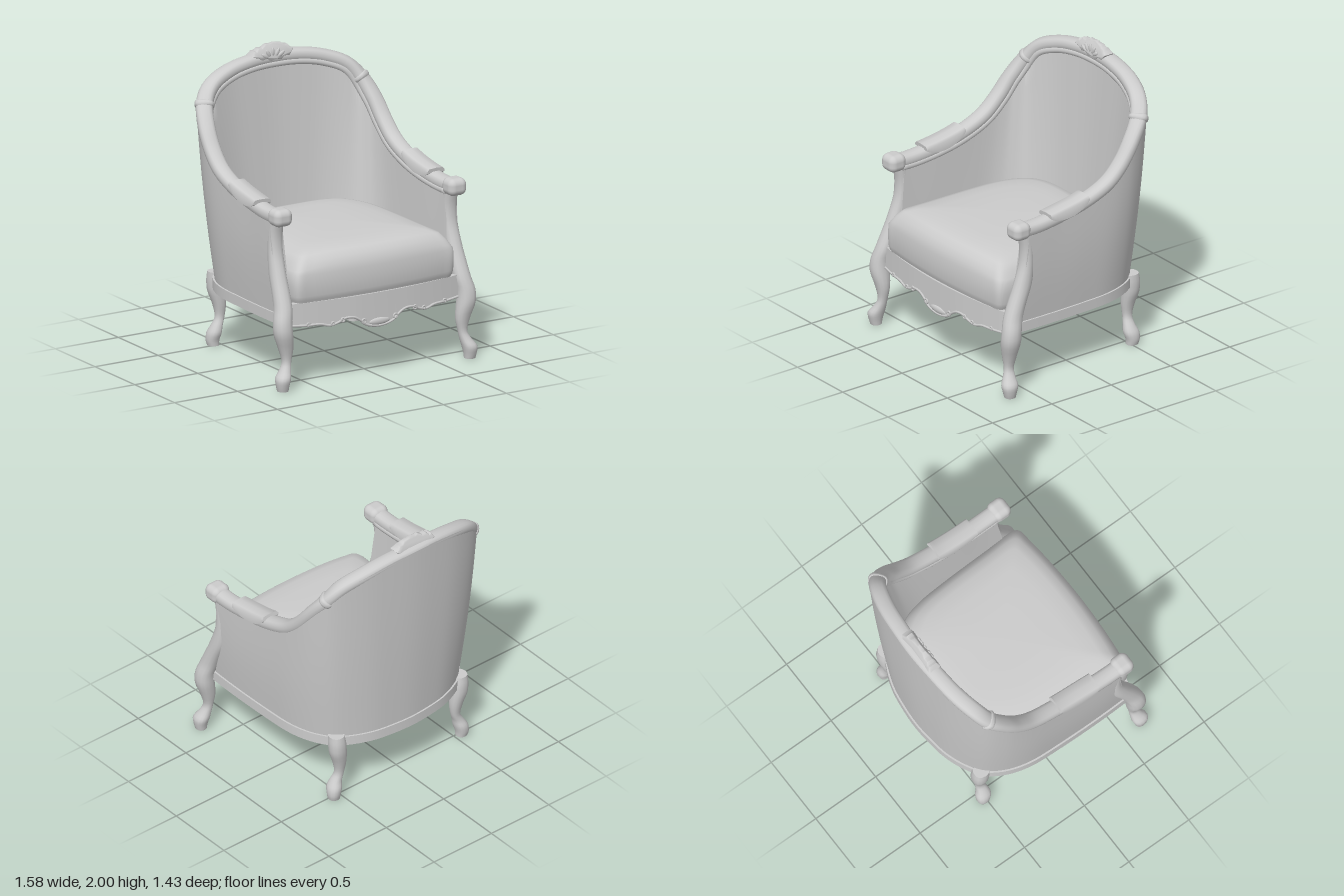
import * as THREE from 'three';
import { toCreasedNormals } from 'three/addons/utils/BufferGeometryUtils.js';
import { RoundedBoxGeometry } from 'three/addons/geometries/RoundedBoxGeometry.js';

const V = (x, y, z) => new THREE.Vector3(x, y, z);
const UP = V(0, 1, 0);

// Skin a list of closed rings; the start can be left open
function loft(rows, crease = 0.8, openStart = false) {
  const n = rows[0].length, pos = [], idx = [];
  rows.forEach(r => r.forEach(p => pos.push(p.x, p.y, p.z)));
  for (let i = 0; i < rows.length - 1; i++) for (let j = 0; j < n; j++) {
    const k = (j + 1) % n, a = i * n + j, b = a + n, c = (i + 1) * n + k, d = i * n + k;
    idx.push(a, b, d, b, c, d);
  }
  for (const r of openStart ? [rows.length - 1] : [0, rows.length - 1]) {
    const c = rows[r].reduce((s, p) => s.add(p), V(0, 0, 0)).divideScalar(n);
    const ci = pos.length / 3;
    pos.push(c.x, c.y, c.z);
    for (let j = 0; j < n; j++) {
      const a = r * n + j, b = r * n + (j + 1) % n;
      if (r) idx.push(ci, b, a); else idx.push(ci, a, b);
    }
  }
  const g = new THREE.BufferGeometry();
  g.setAttribute('position', new THREE.Float32BufferAttribute(pos, 3));
  g.setIndex(idx);
  return toCreasedNormals(g, crease);
}

// Mirrored U-shaped curve from one half that ends on the centre line
function uCurve(half) {
  const pts = half.map(p => V(...p));
  const other = half.slice(0, -1).reverse().map(p => V(-p[0], p[1], p[2]));
  return new THREE.CatmullRomCurve3([...pts, ...other]);
}

const railCurve = uCurve([[.69, 1.185, .58], [.69, 1.18, .4], [.685, 1.2, .2], [.685, 1.24, 0],
  [.685, 1.32, -.2], [.68, 1.425, -.32], [.665, 1.555, -.42], [.62, 1.69, -.52],
  [.54, 1.785, -.575], [.38, 1.85, -.625], [.19, 1.885, -.65], [0, 1.892, -.66]]);
const baseCurve = uCurve([[.69, .5, .58], [.695, .5, .4], [.695, .5, .2], [.69, .5, 0],
  [.68, .5, -.18], [.655, .5, -.3], [.615, .5, -.4], [.545, .5, -.5],
  [.44, .5, -.57], [.3, .5, -.625], [.15, .5, -.65], [0, .5, -.66]]);

function frame(curve, t) {
  const p = curve.getPoint(t), T = curve.getTangent(t);
  const S = T.clone().cross(UP).normalize(), N = S.clone().cross(T).normalize();
  return (s, n) => p.clone().addScaledVector(S, s).addScaledVector(N, n);
}

// Sweep a section of [outward, up] points along part of a curve
function sweep(curve, section, t0, t1, steps, crease) {
  const rows = [];
  for (let i = 0; i <= steps; i++) {
    const at = frame(curve, t0 + (t1 - t0) * i / steps);
    rows.push(section(i / steps).map(q => at(q[0], q[1])));
  }
  return loft(rows, crease);
}

// Rounded-box section
function oval(rs, rn, cs = 0, cn = 0, count = 16, power = .75) {
  const f = v => Math.sign(v) * Math.abs(v) ** power;
  return Array.from({ length: count }, (_, j) => {
    const a = j / count * Math.PI * 2;
    return [cs + rs * f(Math.cos(a)), cn + rn * f(Math.sin(a))];
  });
}

// Turned leg from rows of [x, y, z, radius x, radius z], smoothed between rows
function leg(data) {
  const c = new THREE.CatmullRomCurve3(data.map(d => V(d[0], d[1], d[2])));
  const r = new THREE.CatmullRomCurve3(data.map(d => V(d[3], 0, d[4])));
  const steps = (data.length - 1) * 3, rows = [];
  for (let i = 0; i <= steps; i++) {
    const p = c.getPoint(i / steps), q = r.getPoint(i / steps);
    rows.push(oval(q.x, q.z, 0, 0, 14, .85).map(([x, z]) => V(p.x + x, p.y, p.z + z)));
  }
  return loft(rows, 1);
}

export function createModel() {
  const chair = new THREE.Group();
  chair.name = 'armchair';
  const grey = new THREE.MeshStandardMaterial({ color: 0xcccccc });
  grey.name = 'pale grey';
  grey.side = THREE.DoubleSide;
  const add = (name, geo, x = 0, y = 0, z = 0, parent = chair) => {
    const m = new THREE.Mesh(geo, grey);
    m.name = name;
    m.position.set(x, y, z);
    parent.add(m);
    return m;
  };

  // Carved top rail running from arm to arm, deeper at the arms, with a lip along the inner edge
  add('topRail', sweep(railCurve, u => {
    const arm = Math.abs(2 * u - 1) ** 3;
    return oval(.058, .044 + .006 * arm, 0, -.01 * arm);
  }, 0, 1, 110));
  add('innerLip', sweep(railCurve, () => oval(.015, .022, -.047, -.04, 8, 1), .02, .98, 110, 2));

  // Upholstered shell: outer and inner walls between base and rail
  const shellRows = [];
  for (let i = 0; i <= 100; i++) {
    const u = i / 100, at = frame(railCurve, .024 + .952 * u), b = baseCurve.getPoint(.006 + .988 * u);
    const inB = V(b.x * .885, .5, b.z < 0 ? b.z * .79 : b.z);
    const back = Math.sin(u * Math.PI) ** 4;
    const outT = at(.05 + .008 * back, -.015 + .035 * back), inT = at(-.047, -.04), ring = [];
    const out = V(b.x, 0, Math.min(b.z, 0)).normalize();
    for (let k = 0; k <= 8; k++)
      ring.push(b.clone().lerp(outT, k / 8).addScaledVector(out, .012 * Math.sin(k / 8 * Math.PI)));
    for (let k = 8; k >= 0; k--)
      ring.push(inB.clone().lerp(inT, k / 8));
    shellRows.push(ring);
  }
  add('upholsteredShell', loft(shellRows));

  // Curved base frame under the shell
  add('baseFrame', sweep(baseCurve, () => [[.012, -.07], [.012, 0], [-.025, 0], [-.025, -.07]], 0, 1, 90, .6));

  // Hollow seat cushion, open below: one plan outline stacked at several heights
  const plan = [[0, .695], [.3, .685], [.52, .665], [.605, .652], [.628, .62], [.624, .4], [.612, 0], [.595, -.2],
    [.555, -.34], [.465, -.46], [.33, -.518], [0, -.53]];
  const loop = [...plan, ...plan.slice(1, -1).reverse().map(([x, z]) => [-x, z])].reverse();
  const outline = new THREE.CatmullRomCurve3(loop.map(([x, z]) => V(x, 0, z)), true).getPoints(110).slice(0, 110);
  const layers = [[.955, .5], [.965, .57], [.99, .6], [1, .63], [1.005, .7], [1, .78], [.98, .83],
    [.94, .87], [.88, .905], [.78, .922], [.6, .932], [.3, .938], [.05, .94]];
  add('seatCushion', loft(layers.map(([s, y]) => outline.map(p => {
    const drop = y > .8 ? .03 * (p.x * s / .62) ** 4 : 0;
    return V(p.x * s, y - drop, .08 + (p.z - .08) * s);
  })), .8, true));

  // Bowed front apron with a scalloped lower edge
  const bow = x => .635 + .065 * (1 - (x / .66) ** 2);
  const edge = uCurve([[.66, .435, 0], [.55, .427, 0], [.45, .425, 0], [.38, .408, 0], [.32, .42, 0],
    [.27, .442, 0], [.2, .44, 0], [.14, .405, 0], [.12, .385, 0], [.08, .367, 0], [0, .355, 0]]);
  const edgePts = edge.getPoints(100).reverse();
  add('frontApron', loft(edgePts.map(({ x, y }) => {
    const z = bow(x);
    return [V(x, y, z), V(x, .585, z - .005), V(x, .585, z - .045), V(x, y, z - .03)];
  }), .5));
  const trim = new THREE.CatmullRomCurve3(edgePts.map(p => V(p.x, p.y, bow(p.x))));
  add('apronTrim', new THREE.TubeGeometry(trim, 100, .009, 6));
  add('apronShell', new THREE.SphereGeometry(1, 18, 10), 0, .385, .695).scale.set(.085, .026, .015);

  // Parts repeated on both sides
  for (const side of [1, -1]) {
    const half = new THREE.Group();
    half.name = side > 0 ? 'leftSide' : 'rightSide';
    half.scale.x = side;
    chair.add(half);
    const put = (name, geo, x, y, z) => add(name, geo, x, y, z, half);

    // Front cabriole leg continuing up into the arm post
    put('frontLegAndPost', leg([[.74, 0, .655, .037, .038], [.742, .035, .657, .043, .046],
      [.738, .085, .655, .05, .057], [.715, .135, .642, .039, .043], [.697, .19, .632, .031, .033],
      [.7, .28, .63, .05, .046], [.725, .4, .635, .064, .066], [.725, .48, .628, .062, .065],
      [.708, .56, .605, .06, .064], [.7, .66, .565, .058, .062], [.695, .78, .515, .055, .062],
      [.69, .92, .482, .052, .047], [.69, 1.04, .48, .05, .042], [.69, 1.16, .495, .05, .05]]));

    // Rear cabriole leg
    put('rearLeg', leg([[.555, 0, -.515, .039, .041], [.558, .035, -.518, .044, .047],
      [.55, .085, -.512, .048, .055], [.532, .135, -.507, .038, .042], [.507, .19, -.511, .032, .032],
      [.507, .28, -.515, .045, .045], [.526, .38, -.523, .06, .057], [.532, .45, -.522, .06, .06],
      [.535, .515, -.517, .053, .055]]));

    // Rounded hand rest
    put('handRest', new RoundedBoxGeometry(.14, .12, .135, 5, .045), .69, 1.18, .543);

    // Padded arm cover, deepest at the middle of its length
    put('armPad', sweep(railCurve, u => {
      const low = .03 - .05 * Math.sin(u * Math.PI) ** .7;
      return [[.068, low], [.068, .045], [.055, .06], [0, .064], [-.055, .06], [-.068, .045], [-.068, low]];
    }, 1.45 / 22, 3.1 / 22, 14));

    // Raised clasp on the rail below the corner
    put('railClasp', sweep(railCurve, u => {
      const k = .9 + .24 * Math.sin(u * Math.PI) ** .5;
      return oval(.06 * k, .046 * k);
    }, 6.85 / 22, 7.15 / 22, 6));

    // Small scrolls on the apron
    for (const [x, y, r] of [[.125, .402, .015], [.285, .434, .013], [.36, .418, .011], [.54, .432, .011]])
      put('apronScroll', new THREE.TorusGeometry(r, .007, 6, 14), x, y, bow(x) + .002);
  }

  // Leaf crest on top of the rail, thinning towards its tip
  const crestShape = new THREE.Shape();
  [[-.18, 1.928], [-.16, 1.952], [-.145, 1.948], [-.125, 1.968], [-.095, 1.965], [-.06, 1.988],
    [-.035, 1.983], [-.005, 1.992], [.025, 1.985], [.055, 1.982], [.075, 1.967], [.1, 1.965], [.11, 1.952],
    [.13, 1.942], [.115, 1.925], [.1, 1.908], [.06, 1.91], [.04, 1.89], [0, 1.897], [-.04, 1.887],
    [-.07, 1.908], [-.11, 1.9], [-.14, 1.922]].forEach(([x, y], i) =>
    i ? crestShape.lineTo(x, y) : crestShape.moveTo(x, y));
  const crestGeo = new THREE.ExtrudeGeometry(crestShape, {
    depth: .07, bevelSize: .008, bevelThickness: .012, bevelSegments: 2
  });
  const cp = crestGeo.attributes.position;
  const taper = y => Math.min(1, .25 + (2 - y) * 10);
  for (let i = 0; i < cp.count; i++) cp.setZ(i, -.642 + (cp.getZ(i) - .035) * taper(cp.getY(i)));
  add('crestLeaf', toCreasedNormals(crestGeo, .6));
  for (let i = -2; i <= 2; i++) {
    const a = i * .5, x = -.025 + Math.sin(a) * .075, y = 1.9 + Math.cos(a) * .04;
    const lobe = add('crestLobe', new THREE.SphereGeometry(1, 10, 8), x, y, -.642 + .042 * taper(y));
    lobe.scale.set(.014, .032, .01);
    lobe.rotation.z = -a;
  }
  return chair;
}
